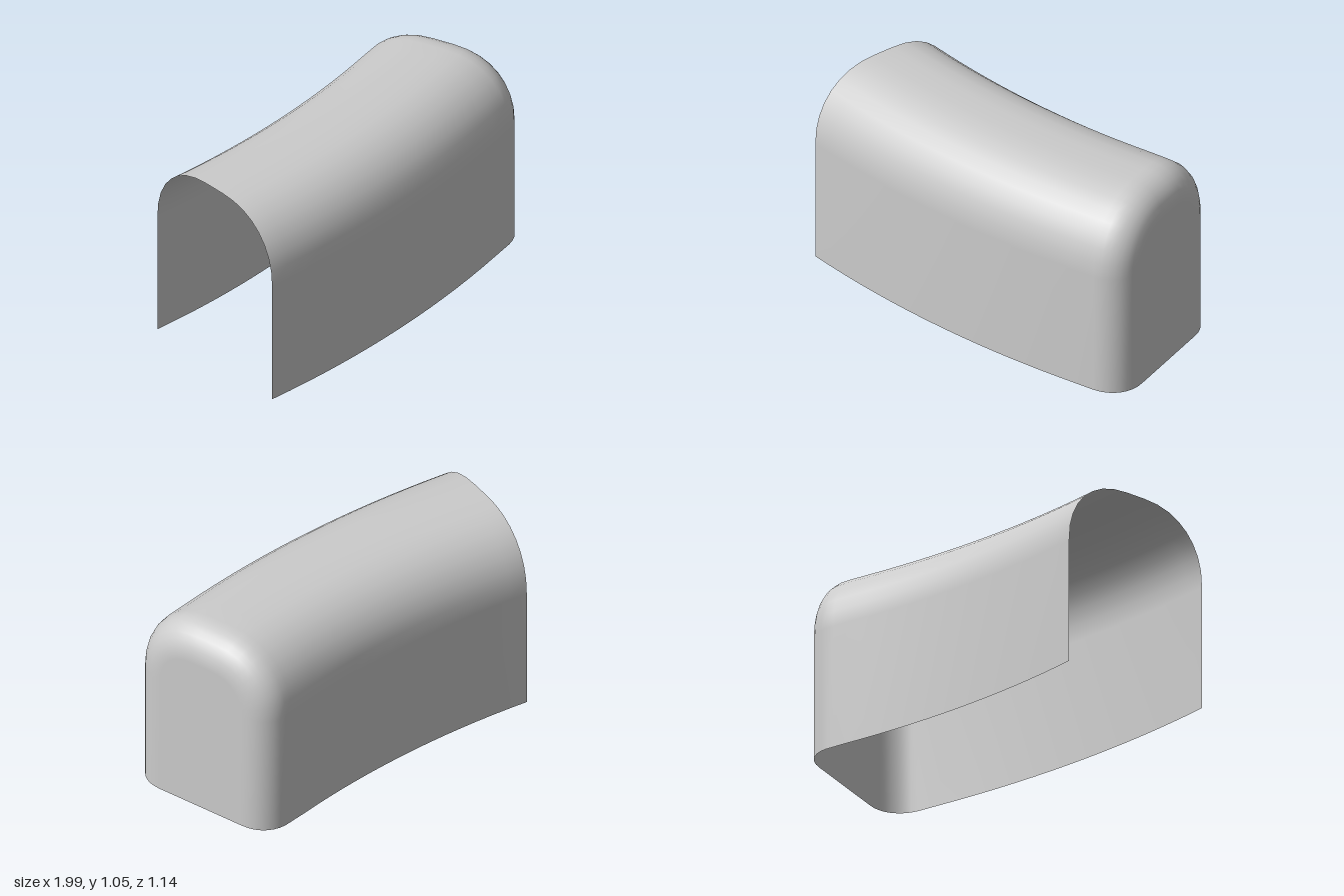
import * as THREE from 'three';

// Curved cover: an arched cross-section swept along an arc, with a soft rounded closed end
const HEIGHT = 1.055, HALF = 0.44, CORNER = 0.38;   // cross-section
const RADIUS = 5.41, CENTRE_Z = -5.28, SWEEP = 0.356; // path arc, starting at x = -1
const FILLET = 0.18;                                 // rounding of the closed end

// Slightly full quarter round: returns [cos-like, sin-like]
function quarter(t) {
  const a = t * Math.PI / 2, n = 2 / 2.2;
  return [Math.max(0, Math.cos(a)) ** n, Math.sin(a) ** n];
}

// Arch from the back foot over the top to the front foot, shrunk by inset
function arch(inset) {
  const r = CORNER - inset, steps = 8, half = [[HALF - inset, 0]];
  for (let i = 0; i <= steps; i++) {
    const [c, s] = quarter(i / steps);
    half.push([HALF - CORNER + r * c, HEIGHT - CORNER + r * s]);
  }
  return [...half.map(([u, y]) => [-u, y]), ...half.reverse()];
}

function createCover() {
  // Stations along the sweep: [angle, setback from the end, inset]
  const stations = [];
  const straight = SWEEP - FILLET / RADIUS;
  for (let i = 0; i < 16; i++) stations.push([straight * i / 16, 0, 0]);
  for (let i = 0; i <= 8; i++) {
    const [c, s] = quarter(i / 8);
    stations.push([SWEEP, FILLET * (1 - s), FILLET * (1 - c)]);
  }

  const pos = [], index = [];
  const place = (angle, setback, u, y) => {
    const r = RADIUS + u;
    pos.push(
      -1 + r * Math.sin(angle) - setback * Math.cos(angle),
      y,
      CENTRE_Z + r * Math.cos(angle) + setback * Math.sin(angle));
  };
  let count = 0;
  for (const [angle, setback, inset] of stations) {
    const ring = arch(inset);
    count = ring.length;
    for (const [u, y] of ring) place(angle, setback, u, y);
  }

  // Outer skin
  for (let i = 0; i < stations.length - 1; i++) {
    for (let j = 0; j < count - 1; j++) {
      const a = i * count + j, b = a + count;
      index.push(a, a + 1, b, a + 1, b + 1, b);
    }
  }

  // Flat end wall, fanned from the middle of its foot
  const last = (stations.length - 1) * count, hub = pos.length / 3;
  place(SWEEP, 0, 0, 0);
  for (let j = 0; j < count - 1; j++) index.push(hub, last + j, last + j + 1);

  const geometry = new THREE.BufferGeometry();
  geometry.setAttribute('position', new THREE.Float32BufferAttribute(pos, 3));
  geometry.setIndex(index);
  geometry.computeVertexNormals();
  return geometry;
}

export function createModel() {
  const group = new THREE.Group();
  group.name = 'curvedCover';
  const shell = new THREE.Mesh(
    createCover(),
    new THREE.MeshStandardMaterial({ color: 0xcccccc, side: THREE.DoubleSide }));
  shell.name = 'shell';
  group.add(shell);
  return group;
}
